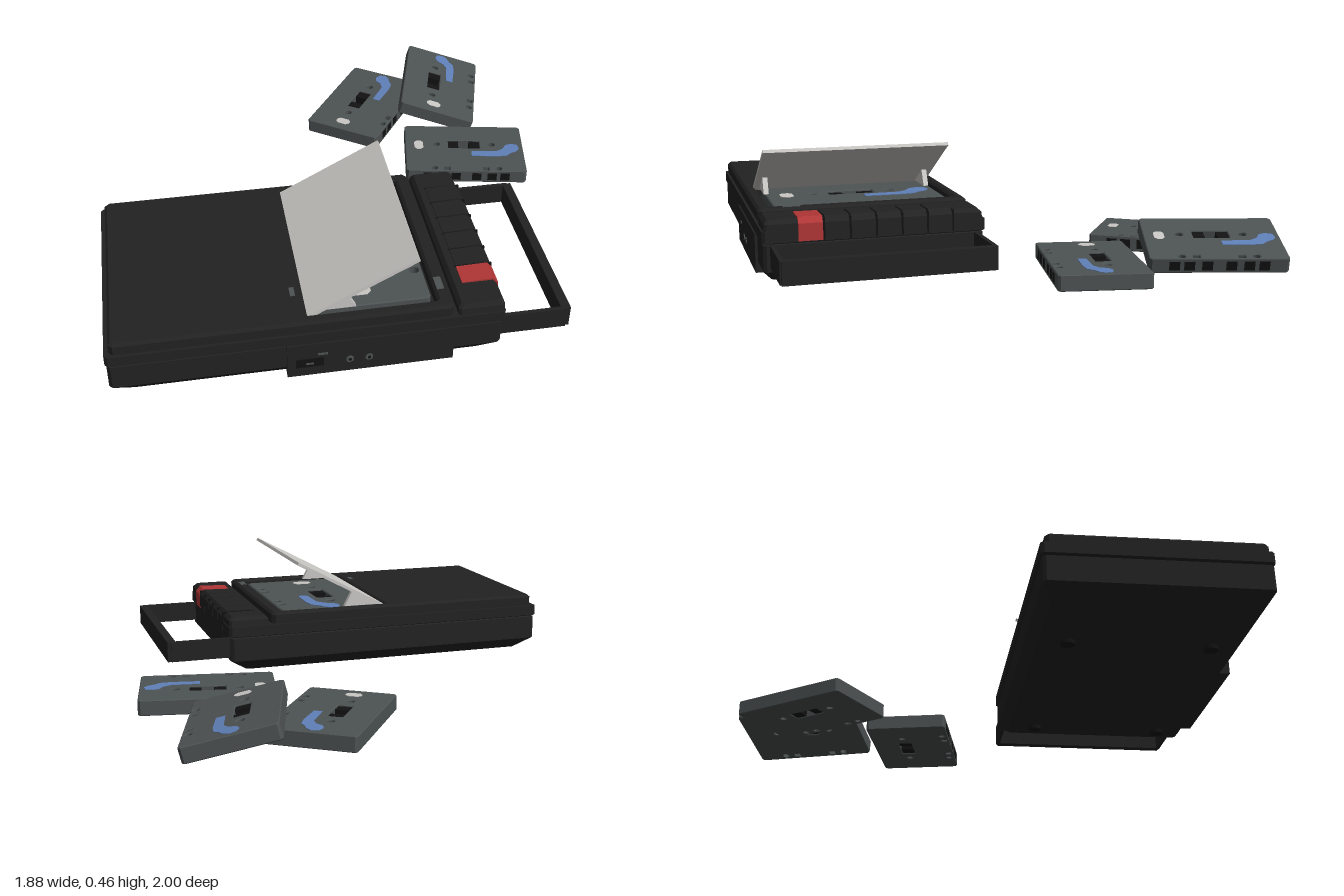
import * as THREE from 'three';

const mat = (name, color) => Object.assign(new THREE.MeshStandardMaterial({ color }), { name });

export function createModel() {
  const black = mat('casing black', 0x222222);
  const dark = mat('recess black', 0x121212);
  const grey = mat('cassette grey', 0x4d5252);
  const pale = mat('lid grey', 0xcac8c5);
  const blue = mat('label blue', 0x5f80b8);
  const red = mat('record red', 0xb03636);
  const model = new THREE.Group();
  model.name = 'cassetteRecorderSet';

  const add = (parent, name, geometry, material, x = 0, y = 0, z = 0) => {
    const m = new THREE.Mesh(geometry, material);
    m.name = name;
    m.position.set(x, y, z);
    parent.add(m);
    return m;
  };
  // Box given by its minimum and maximum on each axis
  const box = (parent, name, material, x0, x1, y0, y1, z0, z1) =>
    add(parent, name, new THREE.BoxGeometry(x1 - x0, y1 - y0, z1 - z0), material,
      (x0 + x1) / 2, (y0 + y1) / 2, (z0 + z1) / 2);
  // Rectangle with cut corners
  const corners = (x0, x1, z0, z1, c) => [
    [x1, z0 + c], [x1, z1 - c], [x1 - c, z1], [x0 + c, z1],
    [x0, z1 - c], [x0, z0 + c], [x0 + c, z0], [x1 - c, z0]];
  const shapeOf = (pts, Type = THREE.Shape) => new Type(pts.map(p => new THREE.Vector2(...p)));
  const circle = (x, y, r) => new THREE.Path().absarc(x, y, r, 0, Math.PI * 2);
  // Flat plan shape (x, z) extruded downwards from y = 0
  const slab = (shape, depth, bevel = 0) => {
    const g = new THREE.ExtrudeGeometry(shape, {
      depth: depth - 2 * bevel, bevelEnabled: bevel > 0, bevelSize: bevel,
      bevelThickness: bevel, bevelOffset: -bevel, bevelSegments: 1, curveSegments: 10 });
    return g.translate(0, 0, bevel).rotateX(Math.PI / 2);
  };
  // Skin over stacked cut-corner rectangles: [y, x0, x1, z0, z1]
  const loft = (levels, c) => {
    const rings = levels.map(([y, ...r]) => corners(...r, c).map(([x, z]) => [x, y, z]));
    const pos = [], n = 8, top = rings[rings.length - 1];
    for (let l = 0; l < rings.length - 1; l++) for (let i = 0; i < n; i++) {
      const j = (i + 1) % n, a = rings[l], b = rings[l + 1];
      pos.push(...a[i], ...b[i], ...a[j], ...a[j], ...b[i], ...b[j]);
    }
    for (let k = 1; k < n - 1; k++) {
      pos.push(...top[0], ...top[k + 1], ...top[k]);
      pos.push(...rings[0][0], ...rings[0][k], ...rings[0][k + 1]);
    }
    const g = new THREE.BufferGeometry();
    g.setAttribute('position', new THREE.Float32BufferAttribute(pos, 3));
    g.computeVertexNormals();
    return g;
  };

  // ---- Cassette: long side on x, tape edge on +z, centred on its own origin
  const cassette = (name) => {
    const g = new THREE.Group();
    g.name = name;
    const W = 0.262, D = 0.173, T = 0.03;
    const rect = (x, z, w, d) => corners(x - w / 2, x + w / 2, z - d / 2, z + d / 2, 0.002);
    const shell = shapeOf(corners(-W, W, -D, D, 0.01));
    shell.holes.push(shapeOf(rect(0, -0.03, 0.14, 0.058), THREE.Path));
    for (const s of [-1, 1]) {
      shell.holes.push(circle(s * 0.123, -0.032, 0.015), circle(s * 0.14, 0.15, 0.014));
      shell.holes.push(shapeOf(rect(s * 0.085, 0.152, 0.027, 0.024), THREE.Path));
    }
    add(g, 'cassetteShell', slab(shell, 2 * T, 0.003), grey, 0, T, 0);
    for (const s of [-1, 1]) {
      // Wound tape seen through the window
      box(g, 'tapeSpool', dark, s * 0.047 - 0.023, s * 0.047 + 0.023, -0.024, 0.024, -0.059, -0.001);
      // Openings along the tape edge
      for (const u of [0.045, 0.112, 0.168])
        box(g, 'tapeOpening', dark, s * u - 0.02, s * u + 0.02, -0.018, 0.018, D - 0.002, D + 0.001);
    }
    // Painted swoosh and side mark
    const swoosh = shapeOf([[0.03, 0.027], [0.14, 0.024], [0.17, 0.005], [0.185, -0.025], [0.21, -0.036],
      [0.238, -0.028], [0.244, 0], [0.232, 0.02], [0.205, 0.035], [0.185, 0.055], [0.14, 0.062], [0.03, 0.06]]);
    add(g, 'blueSwoosh', slab(swoosh, 0.003), blue, 0, T + 0.002, 0);
    add(g, 'sideMark', slab(shapeOf(corners(-0.222, -0.182, -0.052, 0.012, 0.012)), 0.003), pale, 0, T + 0.002, 0);
    g.rotation.order = 'YXZ';
    model.add(g);
    return g;
  };
  const place = (g, x, y, z, turn, tilt = 0, scale = 1) => {
    g.position.set(x, y, z);
    g.rotation.set(tilt, turn, 0);
    g.scale.setScalar(scale);
  };
  place(cassette('looseCassetteLeft'), 0.285, 0.045, -0.66, 0.956);
  place(cassette('leaningCassette'), 0.65, 0.088, -0.70, 1.276, 0.25);
  place(cassette('looseCassetteFront'), 0.648, 0.045, -0.205, -0.19);
  place(cassette('loadedCassette'), -0.003, 0.206, 0.57, Math.PI / 2, 0, 1.29);

  // ---- Recorder casing
  const rec = new THREE.Group();
  rec.name = 'recorder';
  model.add(rec);
  add(rec, 'lowerCasing', loft([
    [0.015, -0.865, 0.40, 0.20, 0.95], [0.06, -0.94, 0.47, 0.163, 0.985],
    [0.158, -0.94, 0.47, 0.163, 0.985], [0.162, -0.93, 0.465, 0.17, 0.98],
    [0.167, -0.945, 0.478, 0.157, 0.99], [0.21, -0.945, 0.478, 0.157, 0.99]], 0.012), black);
  const deck = shapeOf(corners(-0.927, 0.288, 0.175, 0.98, 0.015));
  deck.holes.push(shapeOf(corners(-0.235, 0.235, 0.215, 0.935, 0.005), THREE.Path));
  add(rec, 'topDeck', slab(deck, 0.06, 0.01), black, 0, 0.257, 0);

  // Key housing and six keys, the front one red
  add(rec, 'keyHousing', loft([
    [0.2, 0.305, 0.475, 0.165, 0.985], [0.235, 0.305, 0.475, 0.17, 0.98],
    [0.25, 0.318, 0.46, 0.185, 0.968]], 0.01), black);
  const keyShape = shapeOf([[0.345, 0.17], [0.482, 0.17], [0.482, 0.235], [0.462, 0.257], [0.345, 0.254]]);
  for (let i = 0; i < 6; i++) {
    const g = new THREE.ExtrudeGeometry(keyShape, { depth: 0.089, bevelEnabled: false });
    add(rec, i === 5 ? 'recordKey' : 'key', g, i === 5 ? red : black, 0, 0, 0.288 + i * 0.0965);
    box(rec, 'keyGap', dark, 0.34, 0.481, 0.17, 0.2515, 0.281 + i * 0.0965, 0.288 + i * 0.0965);
  }

  // Control panel on the front side with sockets
  box(rec, 'socketPanel', black, -0.315, 0.29, 0.018, 0.165, 0.93, 0.995);
  box(rec, 'sliderSlot', dark, -0.285, -0.185, 0.06, 0.098, 0.994, 0.998);
  box(rec, 'sliderKnob', grey, -0.25, -0.22, 0.072, 0.08, 0.995, 0.999);
  box(rec, 'smallSwitch', grey, -0.205, -0.17, 0.112, 0.12, 0.994, 0.998);
  for (const x of [-0.09, -0.02]) {
    add(rec, 'socket', new THREE.CylinderGeometry(0.014, 0.014, 0.005, 14).rotateX(Math.PI / 2), grey, x, 0.075, 0.996);
    add(rec, 'socketHole', new THREE.CylinderGeometry(0.006, 0.006, 0.005, 10).rotateX(Math.PI / 2), dark, x, 0.075, 0.998);
  }
  // Small deck fittings
  box(rec, 'deckCatch', grey, -0.28, -0.262, 0.255, 0.259, 0.79, 0.835);
  box(rec, 'deckWindow', grey, 0.245, 0.272, 0.255, 0.259, 0.82, 0.885);

  // Round feet
  for (const x of [-0.555, 0.32]) for (const z of [0.31, 0.85])
    add(rec, 'foot', new THREE.CylinderGeometry(0.028, 0.028, 0.02, 16), dark, x, 0.01, z);

  // Carry handle
  for (const z of [0.185, 0.945]) box(rec, 'handleArm', black, 0.44, 0.72, 0.075, 0.16, z, z + 0.016);
  box(rec, 'handleBar', black, 0.70, 0.735, 0.075, 0.16, 0.19, 0.956);

  // Open lid with hinge gussets
  const lid = new THREE.Group();
  lid.name = 'lid';
  rec.add(lid);
  const panel = add(lid, 'lidPanel', new THREE.BoxGeometry(0.445, 0.013, 0.727), pale, -0.035, 0.349, 0.577);
  panel.rotation.z = 0.49;
  const gusset = shapeOf([[-0.215, 0.25], [-0.055, 0.25], [-0.09, 0.315]]);
  for (const z of [0.24, 0.897])
    add(lid, 'hingeGusset', new THREE.ExtrudeGeometry(gusset, { depth: 0.02, bevelEnabled: false }), pale, 0, 0, z);

  return model;
}
